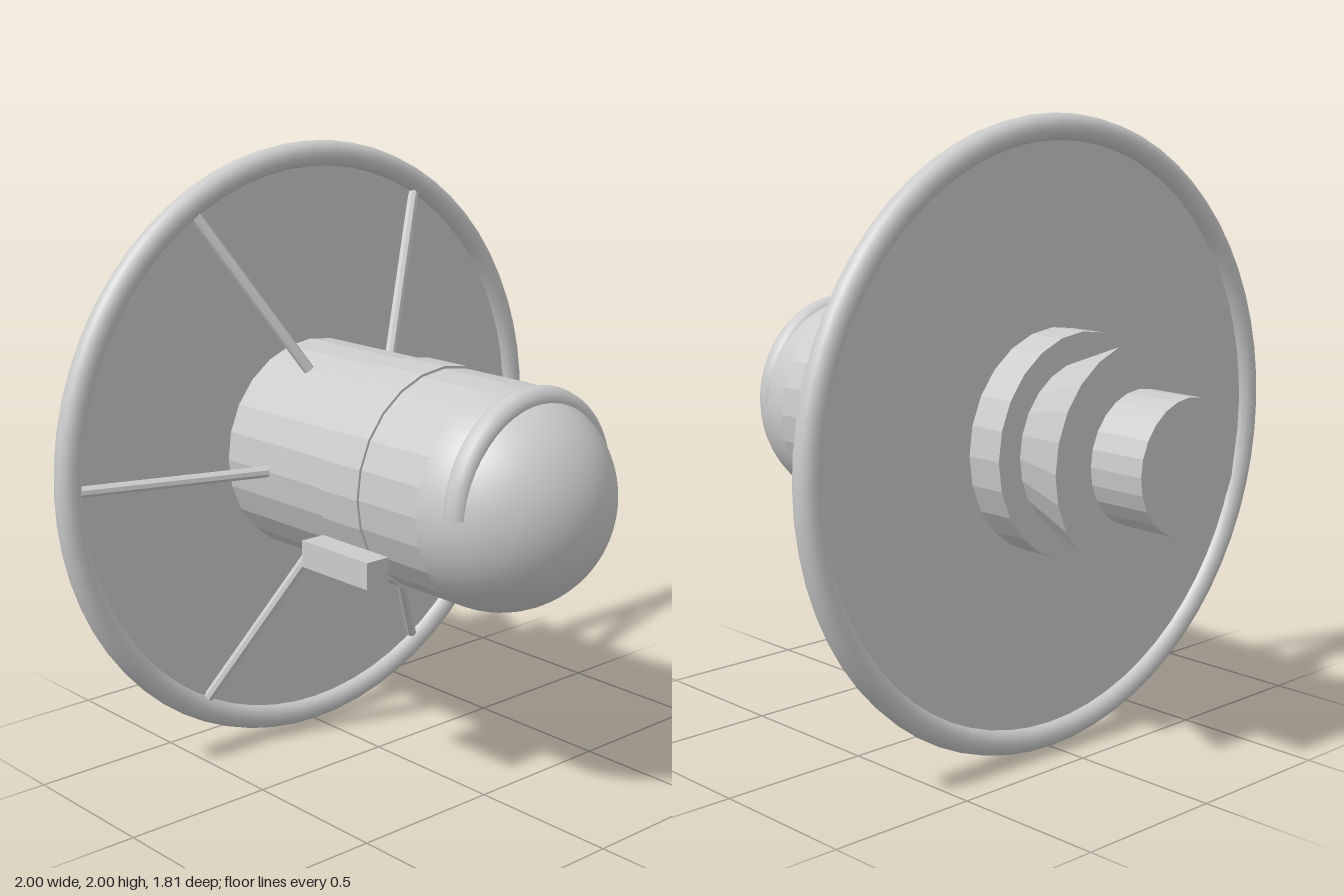
import * as THREE from 'three';

export function createModel() {
  const model = new THREE.Group();
  const craft = new THREE.Group();
  craft.name = 'spacecraft';
  craft.position.y = 1;
  model.add(craft);

  const smooth = new THREE.MeshStandardMaterial({ color: 0xcccccc });
  const faceted = new THREE.MeshStandardMaterial({ color: 0xcccccc, flatShading: true });

  function add(name, geometry, material = smooth) {
    const mesh = new THREE.Mesh(geometry, material);
    mesh.name = name;
    craft.add(mesh);
    return mesh;
  }

  // Closed cylinder or cone along z, from its back end to its front end
  function drum(name, backRadius, frontRadius, back, front, sides = 24, material = faceted) {
    const geometry = new THREE.CylinderGeometry(frontRadius, backRadius, front - back, sides);
    geometry.rotateX(Math.PI / 2);
    geometry.translate(0, 0, (front + back) / 2);
    return add(name, geometry, material);
  }

  // Hull, middle band and engine section
  drum('hull', 0.352, 0.352, -0.48, 0.56);
  drum('hullBand', 0.36, 0.36, 0.13, 0.3);
  drum('engineFlare', 0.352, 0.265, -0.71, -0.48);
  drum('engineNozzle', 0.206, 0.206, -0.903, -0.71);

  // Domed nose with a raised brow over its upper half
  const nose = new THREE.SphereGeometry(0.352, 48, 20, 0, Math.PI * 2, 0, Math.PI / 2);
  nose.rotateX(Math.PI / 2);
  add('nose', nose).position.z = 0.55;
  const brow = new THREE.TorusGeometry(0.3, 0.042, 12, 40, Math.PI);
  add('noseBrow', brow).position.set(0, 0.018, 0.67);

  // Large sail disc held in a round rim
  drum('sailDisc', 0.955, 0.955, -0.355, -0.335, 64, smooth);
  add('sailRim', new THREE.TorusGeometry(0.958, 0.042, 14, 64)).position.z = -0.345;

  // Six struts slope back from the hull to the rim
  const start = new THREE.Vector3(0.35, 0, -0.137);
  const end = new THREE.Vector3(0.92, 0, -0.333);
  const direction = end.clone().sub(start);
  const strut = new THREE.CylinderGeometry(0.018, 0.018, direction.length(), 8);
  strut.applyQuaternion(new THREE.Quaternion().setFromUnitVectors(
    new THREE.Vector3(0, 1, 0), direction.clone().normalize()));
  const middle = start.clone().add(end).multiplyScalar(0.5);
  strut.translate(middle.x, middle.y, middle.z);
  for (let i = 0; i < 6; i++) {
    add('strut' + (i + 1), strut, faceted).rotation.z = i * Math.PI / 3;
  }

  // Box pods low on both flanks
  for (const side of [-1, 1]) {
    add(side > 0 ? 'leftPod' : 'rightPod', new THREE.BoxGeometry(0.085, 0.085, 0.3))
      .position.set(side * 0.365, -0.203, 0.25);
  }

  return model;
}
